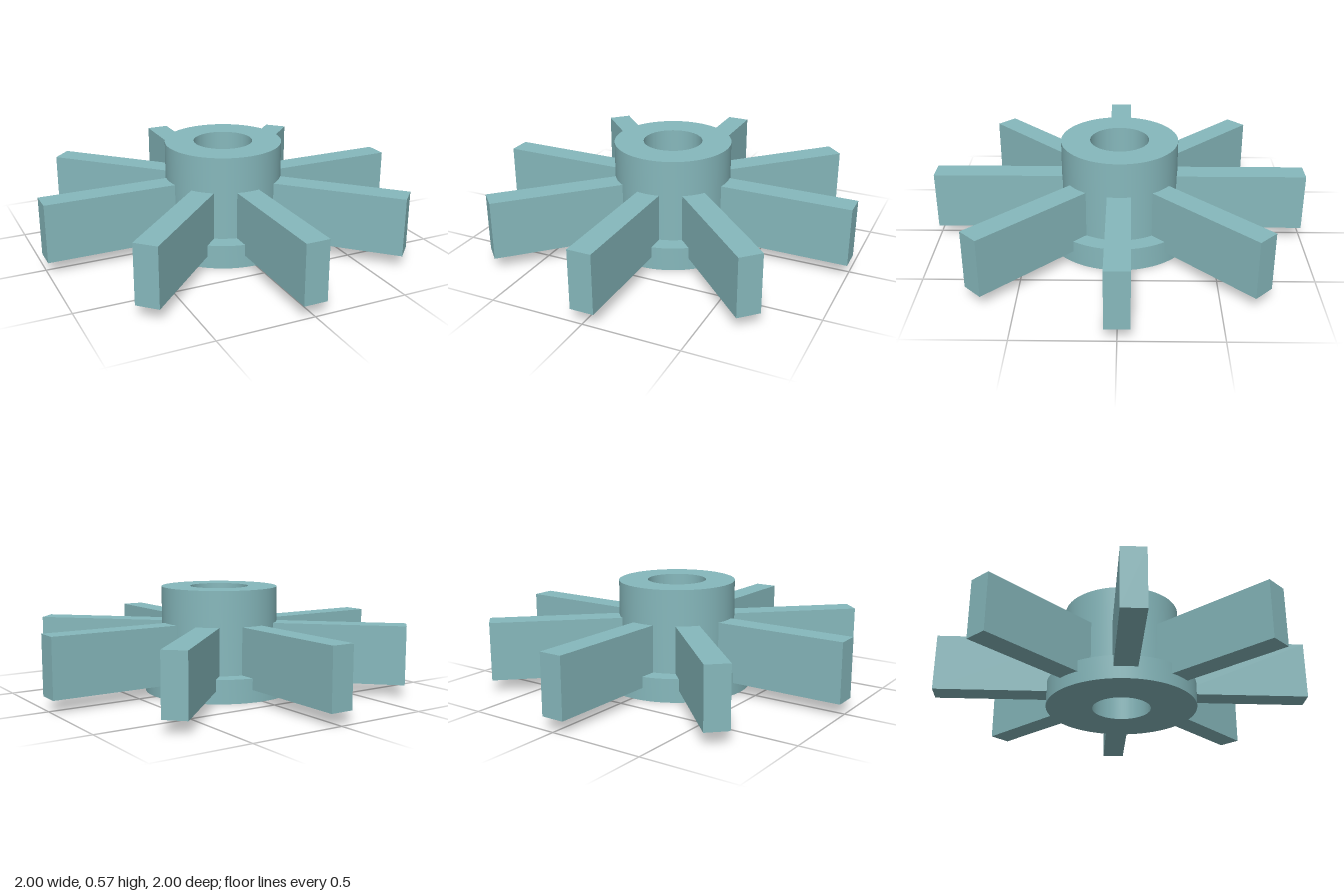
import * as THREE from 'three';
import { toCreasedNormals } from 'three/addons/utils/BufferGeometryUtils.js';

const BORE = 0.157, HUB = 0.312, FLANGE = 0.404;
const FLANGE_TOP = 0.126, HUB_TOP = 0.566;
const BLADES = 8, BLADE_WIDTH = 0.124, BLADE_BOTTOM = 0.066, BLADE_TOP = 0.377;
const BLADE_START = 0.28, BLADE_TIP = 1;

export function createModel() {
  const model = new THREE.Group();
  model.name = 'paddleWheel';
  const material = new THREE.MeshStandardMaterial({ color: 0x86b8bc });

  // Hub with its base flange and through bore, turned as one closed profile
  const profile = [
    [BORE, 0], [FLANGE, 0], [FLANGE, FLANGE_TOP], [HUB, FLANGE_TOP],
    [HUB, HUB_TOP], [BORE, HUB_TOP], [BORE, 0],
  ].map(([r, y]) => new THREE.Vector2(r, y));
  const hub = new THREE.Mesh(
    toCreasedNormals(new THREE.LatheGeometry(profile, 96), Math.PI / 6), material);
  hub.name = 'hub';
  model.add(hub);

  // Radial blades, rooted inside the hub wall
  const bladeGeometry = new THREE.BoxGeometry(
    BLADE_TIP - BLADE_START, BLADE_TOP - BLADE_BOTTOM, BLADE_WIDTH);
  bladeGeometry.translate(
    (BLADE_START + BLADE_TIP) / 2, (BLADE_BOTTOM + BLADE_TOP) / 2, 0);
  for (let i = 0; i < BLADES; i++) {
    const blade = new THREE.Mesh(bladeGeometry, material);
    blade.name = `blade${i + 1}`;
    blade.rotation.y = (i / BLADES) * Math.PI * 2;
    model.add(blade);
  }
  return model;
}
